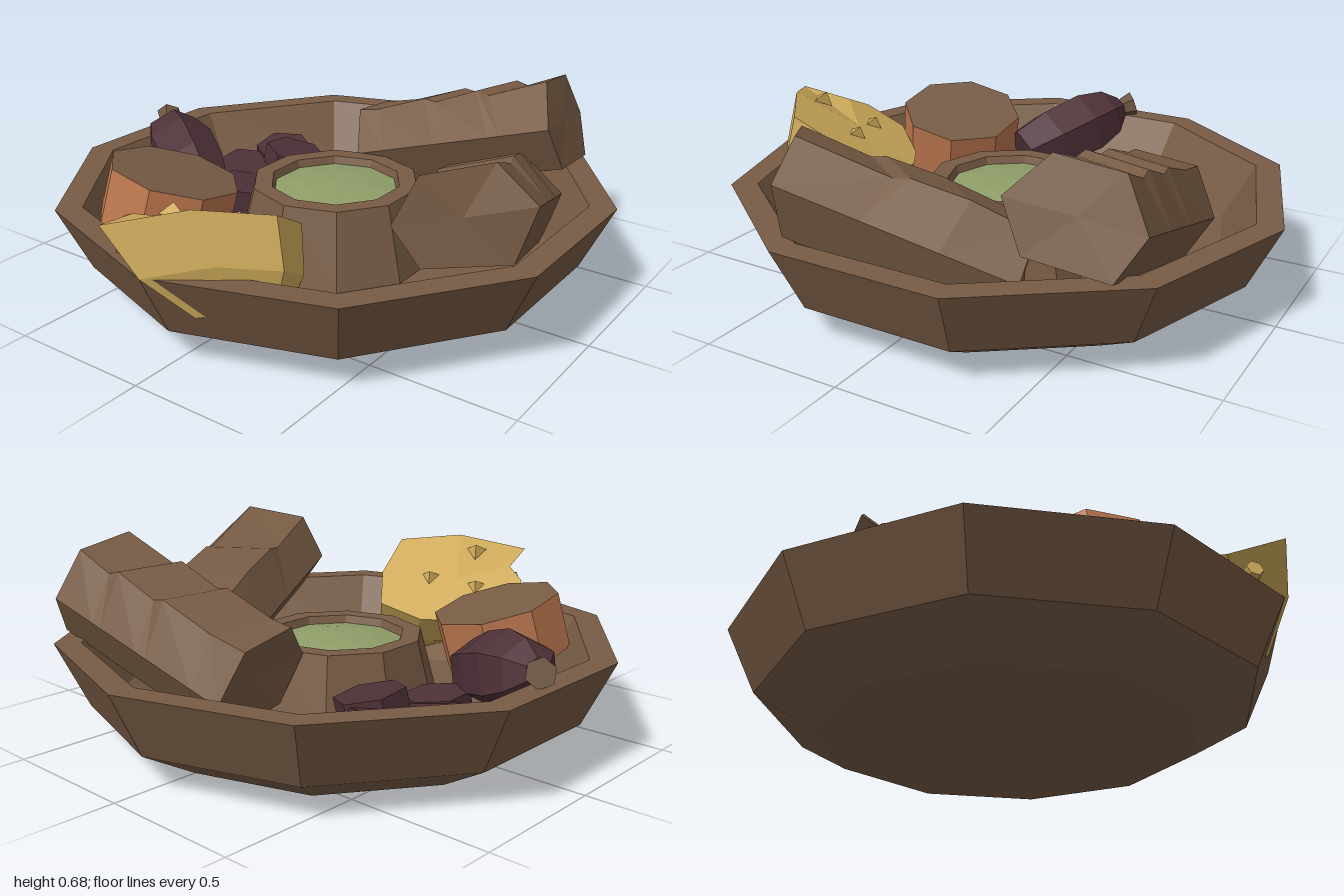
import * as THREE from 'three';

const mat = (name, color) => {
  const m = new THREE.MeshStandardMaterial({ color, flatShading: true });
  m.name = name;
  return m;
};
const V = (x, y, z) => new THREE.Vector3(x, y, z);

// Closed solid through rings of points, with both ends capped
function loft(rings) {
  const tris = [];
  const n = rings[0].length;
  const centre = (r) => r.reduce((s, p) => s.add(p), V(0, 0, 0)).divideScalar(n);
  const first = rings[0], last = rings[rings.length - 1];
  const c0 = centre(first), c1 = centre(last);
  for (let j = 0; j < n; j++) {
    const k = (j + 1) % n;
    for (let i = 0; i < rings.length - 1; i++) {
      const a = rings[i], b = rings[i + 1];
      tris.push([a[j], a[k], b[k]], [a[j], b[k], b[j]]);
    }
    tris.push([c0, first[k], first[j]], [c1, last[j], last[k]]);
  }
  // Turn the faces outward if the ring order runs the other way
  const volume = tris.reduce((s, [a, b, c]) => s + a.dot(b.clone().cross(c)), 0);
  const pts = tris.flatMap(([a, b, c]) => (volume < 0 ? [a, c, b] : [a, b, c]));
  const g = new THREE.BufferGeometry().setFromPoints(pts);
  g.computeVertexNormals();
  return g;
}

// Lathe with a corner on +x
const lathe = (profile, sides) => new THREE.LatheGeometry(
  profile.map(([r, y]) => new THREE.Vector2(r, y)), sides, Math.PI / 2);

// Turn a part so that its own y axis follows a direction
const aim = (mesh, dir) => {
  mesh.quaternion.setFromUnitVectors(V(0, 1, 0), dir.clone().normalize());
  return mesh;
};

export function createModel() {
  const group = new THREE.Group();
  const brown = mat('brown', 0x785c45);
  const yellow = mat('yellow', 0xcfab5b);
  const orange = mat('orange', 0xbe784f);
  const purple = mat('purple', 0x4d3137);
  const green = mat('green', 0x8f9e69);
  const stemBrown = mat('stem brown', 0x6a533e);

  const add = (name, geometry, material, x = 0, y = 0, z = 0) => {
    const m = new THREE.Mesh(geometry, material);
    m.name = name;
    m.position.set(x, y, z);
    group.add(m);
    return m;
  };

  // Ten-sided bowl with the dip cup standing in its middle
  add('bowl', lathe([
    [0, 0], [0.67, 0], [0.87, 0.115], [0.978, 0.34], [0.888, 0.34], [0.775, 0.15], [0.64, 0.075],
    [0.37, 0.065], [0.30, 0.33], [0.235, 0.33], [0.225, 0.30], [0, 0.30],
  ], 10), brown, 0.02);
  add('dip', lathe([[0.227, 0.302], [0.12, 0.318], [0, 0.325]], 10), green, 0.02);

  // Bread loaves: six-sided bars with shallow slanting cuts across the top
  const bread = (name, hex, d, cuts) => {
    const rings = cuts.map(([t, dip], i) => hex.map((p, j) => {
      const top = j === 1 || j === 2;
      const slant = top && i > 0 && i < cuts.length - 1 ? (j === 1 ? 0.05 : -0.05) : 0;
      const q = V(...p).addScaledVector(d, t + slant);
      if (top) q.y += dip;
      return q;
    }));
    add(name, loft(rings), brown);
  };
  bread('sideBread', [
    [0.355, 0.55, 0.65], [0.48, 0.68, 0.575], [0.70, 0.65, 0.55],
    [0.785, 0.49, 0.585], [0.71, 0.355, 0.65], [0.435, 0.39, 0.68],
  ], V(-0.065, -0.225, -0.74), [[0, 0], [0.24, -0.02], [0.3, 0.005], [0.52, -0.015], [0.58, 0.005], [0.85, -0.01], [1, 0]]);
  bread('frontBread', [
    [-0.265, 0.55, 0.915], [-0.28, 0.66, 0.78], [-0.41, 0.62, 0.60],
    [-0.455, 0.46, 0.535], [-0.42, 0.33, 0.62], [-0.29, 0.36, 0.86],
  ], V(0.70, -0.25, -0.23), [[0, 0], [0.36, -0.01], [0.43, 0.012], [0.68, 0.02], [1, 0]]);

  // Half fruit: a flat tilted cut face with rounded skin beneath
  const faceY = (x, z) => 0.57 - 0.50 * (x + 0.78) + 0.28 * (z - 0.33);
  const normal = V(0.50, 1, -0.28).normalize();
  const rim = [
    [-1.0, -0.10], [-0.82, -0.15], [-0.785, -0.23], [-0.65, -0.275], [-0.49, -0.135], [-0.42, -0.02],
    [-0.395, 0.16], [-0.52, 0.26], [-0.70, 0.31], [-0.85, 0.12],
  ].map(([x, z]) => V(x, x < -0.95 ? 0.495 : faceY(x, z), z));
  const mid = V(-0.66, faceY(-0.66, 0.02), 0.02);
  const shell = (scale, depth) => rim.map((p) =>
    p.clone().sub(mid).multiplyScalar(scale).add(mid).addScaledVector(V(-0.2, -1, 0.65), depth));
  add('halfFruit', loft([rim, shell(0.82, 0.14), shell(0.45, 0.25)]), yellow);
  for (const [x, z] of [[-0.66, -0.10], [-0.60, 0.08], [-0.81, 0.01]]) {
    aim(add('fruitSeed', new THREE.ConeGeometry(0.045, 0.04, 3), yellow, x, faceY(x, z) + 0.012, z), normal);
  }
  aim(add('fruitStem', new THREE.CylinderGeometry(0.03, 0.04, 0.1, 6), yellow, -0.87, 0.38, -0.10), V(-0.5, 0.2, -0.6));

  // Thick root slice: orange sides, brown cut faces
  const slice = new THREE.CylinderGeometry(0.23, 0.23, 0.2, 8);
  slice.rotateY(Math.PI / 8);
  slice.translate(0, -0.1, 0);
  aim(add('rootSlice', slice, [orange, brown, brown], -0.42, 0.415, -0.36), V(0.19, 1, 0.19));

  // Eggplant lying against the back wall, its stem end raised
  aim(add('eggplant', lathe([
    [0, 0], [0.105, 0], [0.13, 0.14], [0.135, 0.30], [0.105, 0.41], [0.045, 0.48], [0, 0.48],
  ], 6), purple, -0.19, 0.24, -0.45), V(0.24, 0.13, -0.40));
  aim(add('eggplantStem', new THREE.CylinderGeometry(0.05, 0.025, 0.09, 6), stemBrown, 0.06, 0.37, -0.855), V(0.5, 0.2, -0.4));

  // Eggplant pieces resting low on the bowl floor
  for (const [x, y, z, r, tx, tz] of [
    [0.03, 0.16, -0.455, 0.115, 0.05, 0.1],
    [0.185, 0.17, -0.555, 0.12, -0.1, 0.15],
    [0.36, 0.20, -0.50, 0.115, -0.2, 0.15],
    [0.305, 0.22, -0.41, 0.12, 0.1, 0.2],
  ]) {
    const g = new THREE.CylinderGeometry(r, r, 0.1, 6);
    g.rotateY(Math.PI / 6);
    aim(add('eggplantPiece', g, purple, x, y, z), V(tx, 1, tz));
  }
  return group;
}
